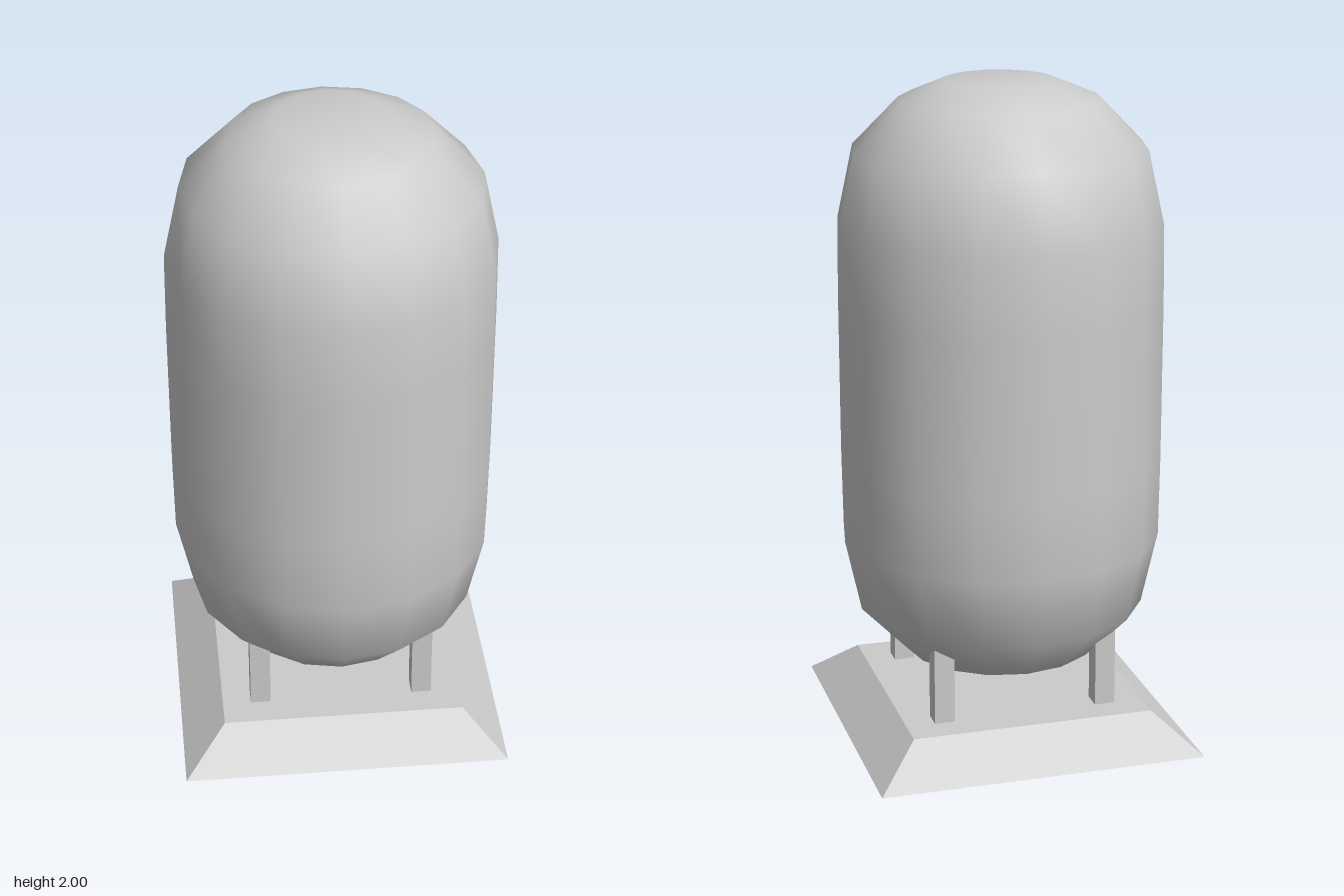
import * as THREE from 'three';

const smooth = new THREE.MeshStandardMaterial({ color: 0xcccccc });
const flat = new THREE.MeshStandardMaterial({ color: 0xcccccc, flatShading: true });

function add(group, name, geometry, material = flat) {
  const mesh = new THREE.Mesh(geometry, material);
  mesh.name = name;
  group.add(mesh);
  return mesh;
}

// Corner points of a square centred on the origin
function square(half) {
  return [[-1, -1], [1, -1], [1, 1], [-1, 1]].map(([x, y]) => new THREE.Vector2(x * half, y * half));
}

export function createModel() {
  const model = new THREE.Group();
  model.name = 'capsuleOnStand';

  // Capsule: a 16-sided lathe, mirrored about its middle height
  const midY = 1.123;
  const upper = [[0.475, 0.235], [0.472, 0.467], [0.425, 0.683], [0.29, 0.822], [0.16, 0.877], [0, 0.877]];
  const profile = [
    ...upper.map(([r, h]) => new THREE.Vector2(r, midY - h)).reverse(),
    new THREE.Vector2(0.475, midY),
    ...upper.map(([r, h]) => new THREE.Vector2(r, midY + h)),
  ];
  add(model, 'capsule', new THREE.LatheGeometry(profile, 16), smooth);

  // Base: square plate with sloping sides
  const base = new THREE.CylinderGeometry(0.36 * Math.SQRT2, 0.485 * Math.SQRT2, 0.11, 4);
  base.rotateY(Math.PI / 4).translate(0, 0.115, 0);
  add(model, 'base', base);

  // Foot: hollow square frame beneath the base
  const outline = new THREE.Shape(square(0.24));
  outline.holes.push(new THREE.Path(square(0.165)));
  const foot = new THREE.ExtrudeGeometry(outline, { depth: 0.06, bevelEnabled: false });
  foot.rotateX(-Math.PI / 2);
  add(model, 'footFrame', foot);

  // Small block in the middle of the frame
  add(model, 'footCore', new THREE.BoxGeometry(0.18, 0.03, 0.18)).position.y = 0.05;

  // Legs: posts whose tops are cut to follow the underside of the capsule
  for (const sx of [-1, 1]) {
    for (const sz of [-1, 1]) {
      const leg = new THREE.BoxGeometry(0.06, 0.23, 0.06);
      leg.translate(sx * 0.245, 0.28, sz * 0.245);
      const p = leg.attributes.position;
      for (let i = 0; i < p.count; i++) {
        if (p.getY(i) < 0.3) continue;
        const outward = Math.abs(p.getX(i)) + Math.abs(p.getZ(i)) - 0.49;
        p.setY(i, 0.365 + outward * 0.6);
      }
      const side = sx > 0 ? 'Left' : 'Right';
      add(model, (sz > 0 ? 'front' : 'back') + side + 'Leg', leg);
    }
  }
  return model;
}
